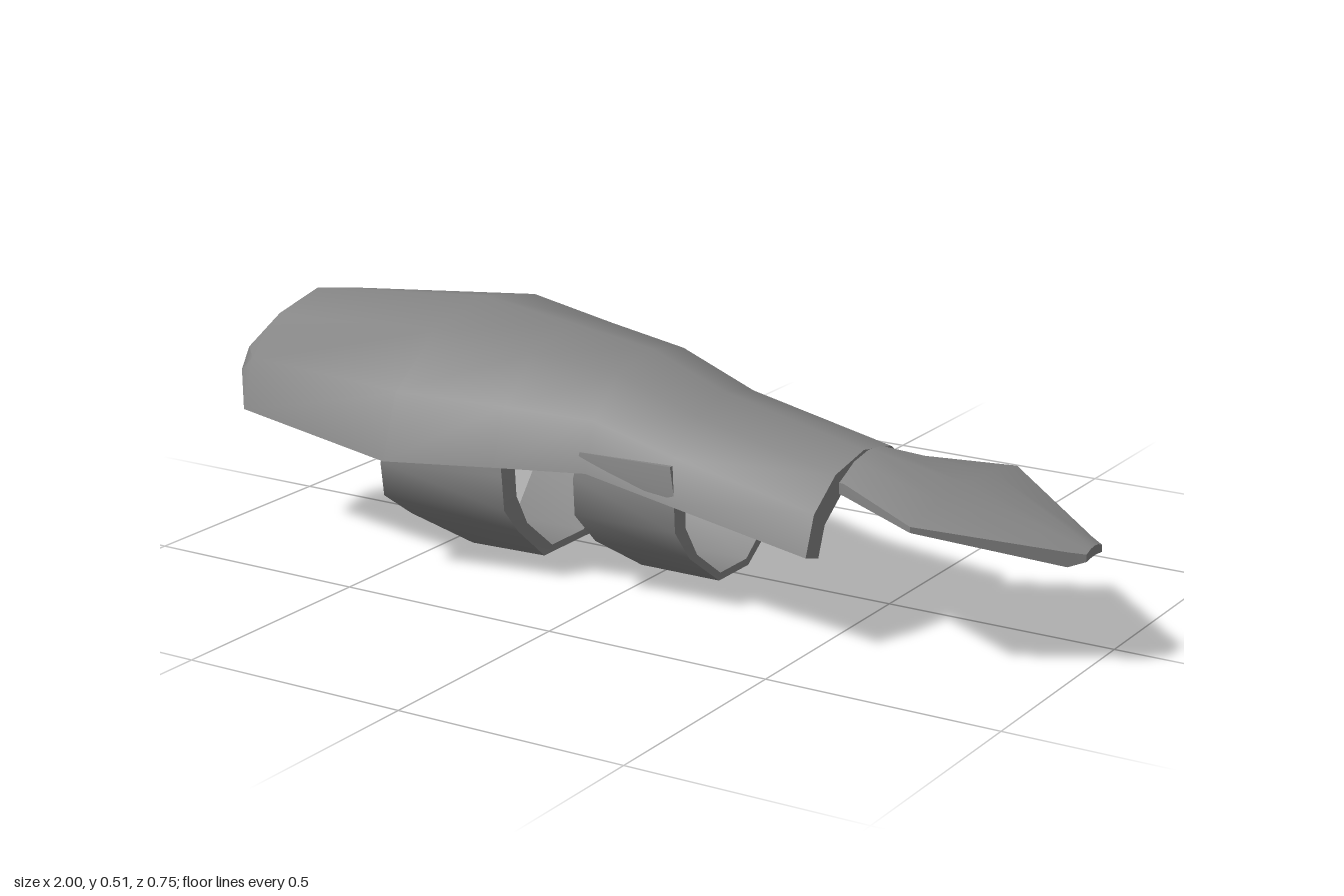
import * as THREE from 'three';
import { toCreasedNormals } from 'three/addons/utils/BufferGeometryUtils.js';

const material = new THREE.MeshStandardMaterial({ color: 0x868686 });

// Closed loft through rings of [x, y, z]; the first half of each ring is the
// outer skin, the second half runs back along the inner skin.
function loft(name, rings, crease) {
  const n = rings[0].length;
  const index = [];
  const quad = (a, b, c, d) => index.push(a, b, c, a, c, d);
  for (let r = 0; r < rings.length - 1; r++) {
    for (let i = 0; i < n; i++) {
      const j = (i + 1) % n;
      quad(r * n + i, r * n + j, (r + 1) * n + j, (r + 1) * n + i);
    }
  }
  const last = (rings.length - 1) * n;
  for (let i = 0; i < n / 2 - 1; i++) {
    const a = n - 1 - i;
    quad(i, a, a - 1, i + 1);
    quad(last + i, last + i + 1, last + a - 1, last + a);
  }
  // Turn all faces outward using the signed volume
  const p = rings.flat().map((v) => new THREE.Vector3(...v));
  let volume = 0;
  for (let i = 0; i < index.length; i += 3) {
    volume += p[index[i]].dot(p[index[i + 1]].clone().cross(p[index[i + 2]]));
  }
  if (volume < 0) index.reverse();
  const geometry = new THREE.BufferGeometry().setFromPoints(p);
  geometry.setIndex(index);
  const mesh = new THREE.Mesh(toCreasedNormals(geometry, crease), material);
  mesh.name = name;
  return mesh;
}

// Half-ellipse arch with wall thickness t
function archRing([x, z0, z1, base, top, t]) {
  const zc = (z0 + z1) / 2, half = (z1 - z0) / 2;
  const ring = [];
  for (let i = 0; i <= 6; i++) {
    const a = (i * Math.PI) / 6;
    ring.push([x, base + Math.sin(a) * (top - base), zc + Math.cos(a) * half]);
  }
  const lip = base - t * 0.3;
  for (let i = 6; i >= 0; i--) {
    const a = (i * Math.PI) / 6;
    ring.push([x, lip + Math.sin(a) * (top - t - lip), zc + Math.cos(a) * (half - t)]);
  }
  return ring;
}

// Lens-shaped section of the hand plate
function plateRing([x, z0, z1, edge, top, bottom, thin]) {
  const ring = [];
  const us = [-1, -0.5, 0, 0.5, 1];
  const add = (u, peak, rim) =>
    ring.push([x, rim + (peak - rim) * (1 - u * u), (z0 + z1) / 2 + (u * (z1 - z0)) / 2]);
  us.forEach((u) => add(u, top, edge));
  us.reverse().forEach((u) => add(u, bottom, edge - thin));
  return ring;
}

// Strap station: x range, outer y with rear and front z, inner y with rear and front z
const strapRing = ([x0, x1, yo, zoRear, zoFront, yi, ziRear, ziFront]) => [
  [x0, yo, zoRear], [x1, yo, zoFront], [x1, yi, ziFront], [x0, yi, ziRear],
];

export function createModel() {
  const group = new THREE.Group();
  group.name = 'forearmGuard';

  // Arched forearm shell with a bevelled rear rim
  group.add(loft('forearmShell', [
    [-1, -0.2, 0.22, 0.33, 0.42, 0.02],
    [-0.94, -0.25, 0.29, 0.265, 0.48, 0.05],
    [-0.5, -0.38, 0.375, 0.24, 0.515, 0.05],
    [-0.25, -0.27, 0.33, 0.255, 0.495, 0.05],
    [-0.04, -0.2, 0.305, 0.27, 0.475, 0.05],
    [0.15, -0.155, 0.3, 0.235, 0.415, 0.05],
    [0.5, -0.11, 0.35, 0.2, 0.36, 0.05],
  ].map(archRing), 0.9));

  // Pointed plate over the back of the hand
  group.add(loft('handPlate', [
    [0.48, -0.02, 0.22, 0.32, 0.355, 0.32, 0.02],
    [0.51, -0.02, 0.22, 0.318, 0.356, 0.3, 0.025],
    [0.72, -0.12, 0.34, 0.3, 0.325, 0.265, 0.012],
    [0.97, 0.06, 0.17, 0.245, 0.258, 0.222, 0.03],
    [1, 0.08, 0.15, 0.24, 0.248, 0.228, 0.015],
  ].map(plateRing), 0.6));

  // Rear strap, rooted in the shell wall and following its taper
  group.add(loft('rearStrap', [
    [-0.49, -0.25, 0.3, 0.35, 0.31, 0.3, 0.33, 0.285],
    [-0.51, -0.235, 0.235, 0.37, 0.322, 0.25, 0.32, 0.275],
    [-0.51, -0.235, 0.16, 0.36, 0.315, 0.18, 0.3, 0.27],
    [-0.5, -0.24, 0.1, 0.28, 0.26, 0.108, 0.235, 0.225],
    [-0.45, -0.27, 0, 0.13, 0.12, 0.016, 0.09, 0.09],
    [-0.45, -0.27, 0, -0.07, -0.06, 0.016, -0.03, -0.03],
    [-0.5, -0.24, 0.1, -0.28, -0.23, 0.108, -0.2, -0.15],
    [-0.51, -0.235, 0.16, -0.36, -0.262, 0.18, -0.3, -0.21],
    [-0.51, -0.235, 0.235, -0.375, -0.262, 0.25, -0.32, -0.21],
    [-0.49, -0.25, 0.3, -0.35, -0.25, 0.3, -0.33, -0.225],
  ].map(strapRing), 1));

  // Front strap, narrower and set slightly higher
  group.add(loft('frontStrap', [
    [-0.06, 0.15, 0.31, 0.295, 0.285, 0.31, 0.27, 0.26],
    [-0.07, 0.165, 0.255, 0.305, 0.295, 0.25, 0.255, 0.25],
    [-0.07, 0.165, 0.175, 0.3, 0.29, 0.175, 0.255, 0.25],
    [-0.06, 0.165, 0.105, 0.24, 0.235, 0.105, 0.205, 0.205],
    [-0.03, 0.16, 0.02, 0.11, 0.11, 0.036, 0.105, 0.105],
    [-0.03, 0.16, 0.02, -0.008, -0.008, 0.036, 0, 0],
    [-0.06, 0.165, 0.105, -0.135, -0.12, 0.105, -0.085, -0.08],
    [-0.07, 0.165, 0.175, -0.195, -0.155, 0.175, -0.14, -0.115],
    [-0.07, 0.165, 0.255, -0.2, -0.153, 0.25, -0.15, -0.115],
    [-0.06, 0.15, 0.3, -0.19, -0.145, 0.3, -0.17, -0.12],
  ].map(strapRing), 1));

  return group;
}
